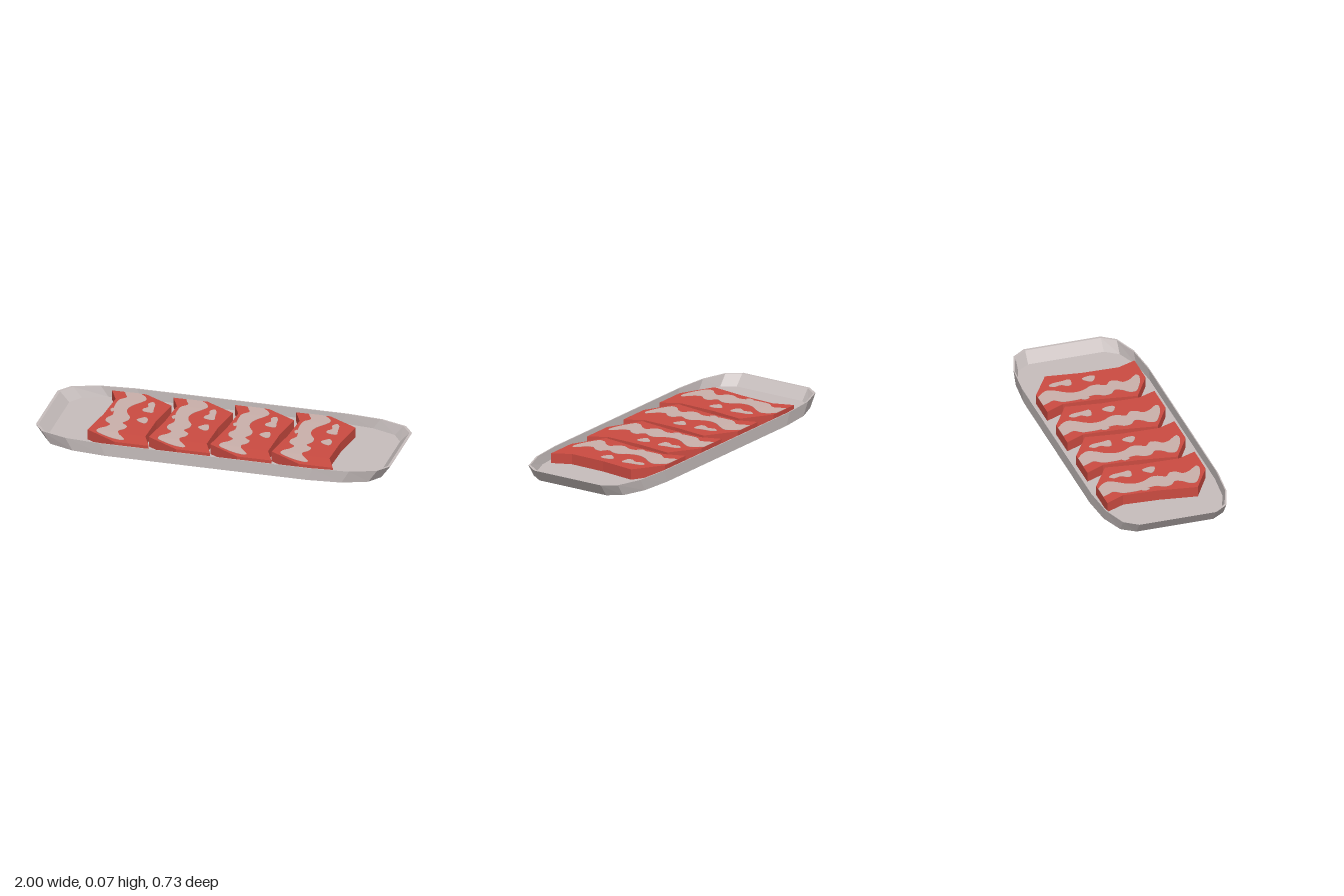
import * as THREE from 'three';

const FLOOR = 0.012;
const PITCH = 0.346;

const mats = {
  tray: new THREE.MeshStandardMaterial({ name: 'warm grey tray', color: 0xc6bdbc, flatShading: true }),
  meat: new THREE.MeshStandardMaterial({ name: 'red meat', color: 0xcb4b41, flatShading: true }),
  fat: new THREE.MeshStandardMaterial({ name: 'pale fat', color: 0xcab0aa, flatShading: true }),
};

// Skin a sequence of equal-length closed rings of Vector3
function loft(rings) {
  const pos = [];
  const tri = (a, b, c) => {
    const n = b.clone().sub(a).cross(c.clone().sub(a));
    if (n.lengthSq() > 1e-16) for (const p of [a, b, c]) pos.push(p.x, p.y, p.z);
  };
  for (let k = 0; k < rings.length - 1; k++) {
    const a = rings[k], b = rings[k + 1];
    for (let i = 0; i < a.length; i++) {
      const j = (i + 1) % a.length;
      tri(a[i], b[i], b[j]);
      tri(a[i], b[j], a[j]);
    }
  }
  const g = new THREE.BufferGeometry();
  g.setAttribute('position', new THREE.Float32BufferAttribute(pos, 3));
  g.computeVertexNormals();
  return g;
}

// Tray: chamfered outline with flared ends, lofted from underside round to inner floor
function trayGeometry() {
  const q = [[1, 0.22], [0.945, 0.295], [0.8, 0.345], [0.6, 0.363]];
  const r = [...q].reverse();
  const outline = [
    ...q,
    ...r.map(([x, z]) => [-x, z]),
    ...q.map(([x, z]) => [-x, -z]),
    ...r.map(([x, z]) => [x, -z]),
  ];
  const ring = (sx, sz, y) => outline.map(([x, z]) => new THREE.Vector3(x * sx, y, z * sz));
  return loft([
    ring(0, 0, 0),
    ring(0.948, 1, 0),
    ring(1, 1, 0.071),
    ring(0.985, 0.985, 0.071),
    ring(0.933, 0.985, FLOOR),
    ring(0, 0, FLOOR),
  ]);
}

// Top of a slice: level in the middle, dipping slightly towards both ends
const topY = (z) => 0.071 - 0.03 * Math.max(0, Math.abs(z) - 0.205);

// Solid from rows of [z, left x, right x]
function slabGeometry(rows, bottom, top) {
  const section = ([z, l, r]) => [
    new THREE.Vector3(l, bottom(z), z), new THREE.Vector3(l, top(z), z),
    new THREE.Vector3(r, top(z), z), new THREE.Vector3(r, bottom(z), z),
  ];
  const cap = ([z, l, r]) =>
    Array.from({ length: 4 }, () => new THREE.Vector3((l + r) / 2, (bottom(z) + top(z)) / 2, z));
  return loft([cap(rows[0]), ...rows.map(section), cap(rows[rows.length - 1])]);
}

// Thin fat plate with smoothly wandering edges
function fatGeometry(rows, steps) {
  const curve = new THREE.CatmullRomCurve3(rows.map(([z, l, r]) => new THREE.Vector3(z, l, r)));
  const fine = curve.getPoints(steps).map((p) => [p.x, p.y, Math.max(p.z, p.y + 0.001)]);
  return slabGeometry(fine, (z) => topY(z) - 0.002, (z) => topY(z) + 0.0018);
}

// Outline of the first slice, then its marbling
const SLICE = [
  [-0.31, -0.717, -0.524], [-0.203, -0.668, -0.353], [0, -0.68, -0.38],
  [0.21, -0.711, -0.385], [0.315, -0.53, -0.337],
];
const STREAK = [
  [-0.309, -0.645, -0.555], [-0.275, -0.63, -0.52], [-0.24, -0.615, -0.503],
  [-0.2, -0.645, -0.52], [-0.15, -0.65, -0.555], [-0.1, -0.648, -0.57],
  [-0.05, -0.635, -0.56], [0.0, -0.63, -0.53], [0.04, -0.65, -0.53],
  [0.08, -0.645, -0.55], [0.115, -0.61, -0.515], [0.15, -0.625, -0.52],
  [0.18, -0.655, -0.545], [0.215, -0.66, -0.535], [0.25, -0.61, -0.505],
  [0.275, -0.555, -0.488], [0.285, -0.515, -0.5],
];
const FLECKS = [
  [[-0.215, -0.465, -0.455], [-0.19, -0.48, -0.44], [-0.15, -0.47, -0.435],
    [-0.12, -0.49, -0.43], [-0.095, -0.485, -0.425], [-0.085, -0.45, -0.435]],
  [[-0.02, -0.455, -0.44], [0.0, -0.475, -0.43], [0.02, -0.487, -0.425],
    [0.04, -0.47, -0.425], [0.053, -0.445, -0.432]],
  [[-0.09, -0.652, -0.648], [-0.07, -0.66, -0.635], [-0.045, -0.65, -0.64]],
];

export function createModel() {
  const group = new THREE.Group();
  group.name = 'trayOfMeat';
  const add = (parent, name, geometry, material) => {
    const mesh = new THREE.Mesh(geometry, material);
    mesh.name = name;
    parent.add(mesh);
  };

  add(group, 'tray', trayGeometry(), mats.tray);

  const meat = slabGeometry(SLICE, () => FLOOR - 0.002, topY);
  const streak = fatGeometry(STREAK, 64);
  const flecks = FLECKS.map((f) => fatGeometry(f, 14));

  // Four identical slices in a row
  for (let i = 0; i < 4; i++) {
    const slice = new THREE.Group();
    slice.name = `meatSlice${i + 1}`;
    slice.position.x = i * PITCH;
    add(slice, 'meat', meat, mats.meat);
    add(slice, 'fatStreak', streak, mats.fat);
    flecks.forEach((f, k) => add(slice, `fatFleck${k + 1}`, f, mats.fat));
    group.add(slice);
  }
  return group;
}
